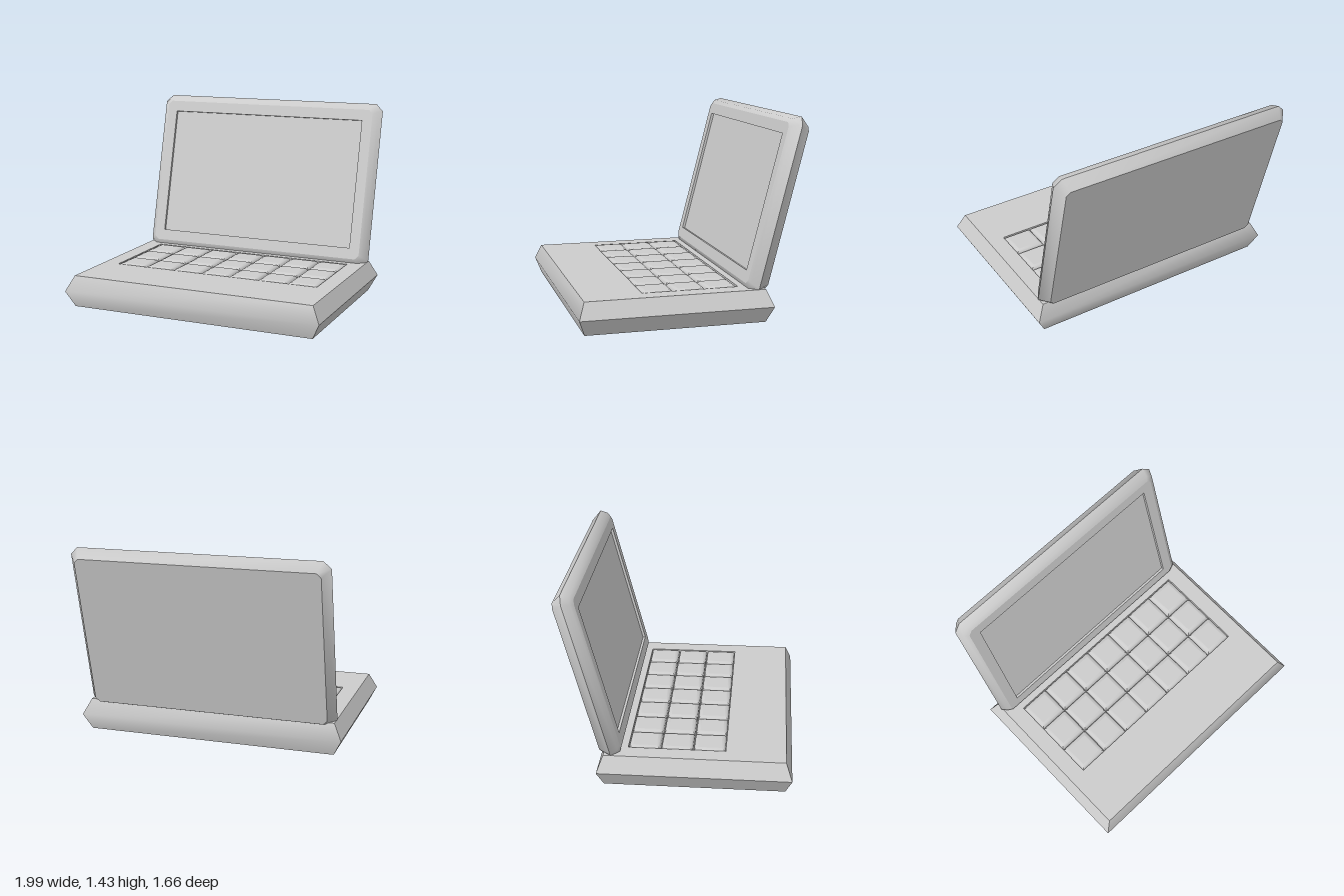
import * as THREE from 'three';
import { toCreasedNormals, mergeGeometries } from 'three/addons/utils/BufferGeometryUtils.js';

// Rectangle outline with cut corners, counter-clockwise; c = 0 gives four plain corners
function outline(hw, hh, cy = 0, c = 0) {
  const pts = c
    ? [[hw, c - hh], [hw, hh - c], [hw - c, hh], [c - hw, hh], [-hw, hh - c], [-hw, c - hh], [c - hw, -hh], [hw - c, -hh]]
    : [[hw, -hh], [hw, hh], [-hw, hh], [-hw, -hh]];
  return pts.map(([x, y]) => new THREE.Vector2(x, y + cy));
}

// Skin between outlines placed at rising z (falling z faces inwards)
function skin(rings, creaseDegrees) {
  const pos = [], idx = [], n = rings[0].pts.length;
  rings.forEach(({ pts, z }) => pts.forEach((p) => pos.push(p.x, p.y, z)));
  for (let i = 0; i < rings.length - 1; i++) {
    for (let j = 0; j < n; j++) {
      const a = i * n + j, b = i * n + (j + 1) % n;
      idx.push(a, b, b + n, a, b + n, a + n);
    }
  }
  const g = new THREE.BufferGeometry();
  g.setAttribute('position', new THREE.Float32BufferAttribute(pos, 3));
  g.setIndex(idx);
  return toCreasedNormals(g, THREE.MathUtils.degToRad(creaseDegrees));
}

// Flat face at z, optionally with a hole or turned to face -z
function face(pts, z, { hole, back } = {}) {
  const shape = new THREE.Shape(pts);
  if (hole) shape.holes.push(new THREE.Path(hole));
  let g = new THREE.ShapeGeometry(shape);
  if (back) g.rotateY(Math.PI); // outlines are symmetric in x
  g = g.translate(0, 0, z).toNonIndexed();
  g.deleteAttribute('uv');
  return g;
}

export function createModel() {
  const model = new THREE.Group();
  model.name = 'laptop';
  const grey = new THREE.MeshStandardMaterial({ color: 0xcccccc });
  grey.name = 'light grey';
  const add = (parent, name, parts) => {
    const mesh = new THREE.Mesh(mergeGeometries(parts), grey);
    mesh.name = name;
    parent.add(mesh);
    return mesh;
  };

  // Base lies flat: local z is up, local y points to the rear
  const base = new THREE.Group();
  base.name = 'base';
  base.rotation.x = -Math.PI / 2;
  model.add(base);
  const cy = -0.1425;
  const rim = outline(0.935, 0.6475, cy);
  const well = outline(0.81, 0.35, -0.01);
  add(base, 'baseShell', [
    skin([{ pts: rim, z: 0 }, { pts: outline(0.995, 0.6925, cy), z: 0.118 }, { pts: rim, z: 0.235 }], 45),
    face(rim, 0, { back: true }),
    face(rim, 0.235, { hole: well }),
  ]);
  add(base, 'keyWell', [
    skin([{ pts: well, z: 0.235 }, { pts: well, z: 0.2 }], 30),
    face(well, 0.2),
  ]);

  // Pillow-shaped keys
  const keyTop = outline(0.082, 0.083);
  const keyGeometry = [
    skin([
      { pts: outline(0.114, 0.115), z: 0.2 },
      { pts: outline(0.111, 0.112), z: 0.222 },
      { pts: outline(0.1, 0.101), z: 0.235 },
      { pts: keyTop, z: 0.241 },
    ], 50),
    face(keyTop, 0.241),
  ];
  for (let row = 0; row < 3; row++) {
    for (let col = 0; col < 7; col++) {
      const key = add(base, 'key', keyGeometry);
      key.position.set((col - 3) * 1.62 / 7, -0.01 + (1 - row) * 0.7 / 3, 0);
    }
  }

  // Lid leans back: local y runs up the lid, local z is its front normal
  const lid = new THREE.Group();
  lid.name = 'lid';
  lid.rotation.x = THREE.MathUtils.degToRad(-14.6);
  model.add(lid);
  const ly = 0.938, front = -0.302;
  const backFace = outline(0.89, 0.586, ly, 0.03);
  const frontFace = outline(0.885, 0.583, ly, 0.03);
  const opening = outline(0.805, 0.4985, ly);
  add(lid, 'lidShell', [
    skin([
      { pts: backFace, z: -0.455 },
      { pts: outline(0.945, 0.642, ly, 0.055), z: -0.375 },
      { pts: outline(0.918, 0.613, ly, 0.045), z: -0.32 },
      { pts: frontFace, z: front },
    ], 50),
    face(backFace, -0.455, { back: true }),
    face(frontFace, front, { hole: opening }),
  ]);

  // Sunken screen
  add(lid, 'screen', [
    skin([{ pts: opening, z: front }, { pts: opening, z: front - 0.02 }], 30),
    face(opening, front - 0.02),
  ]);

  return model;
}
